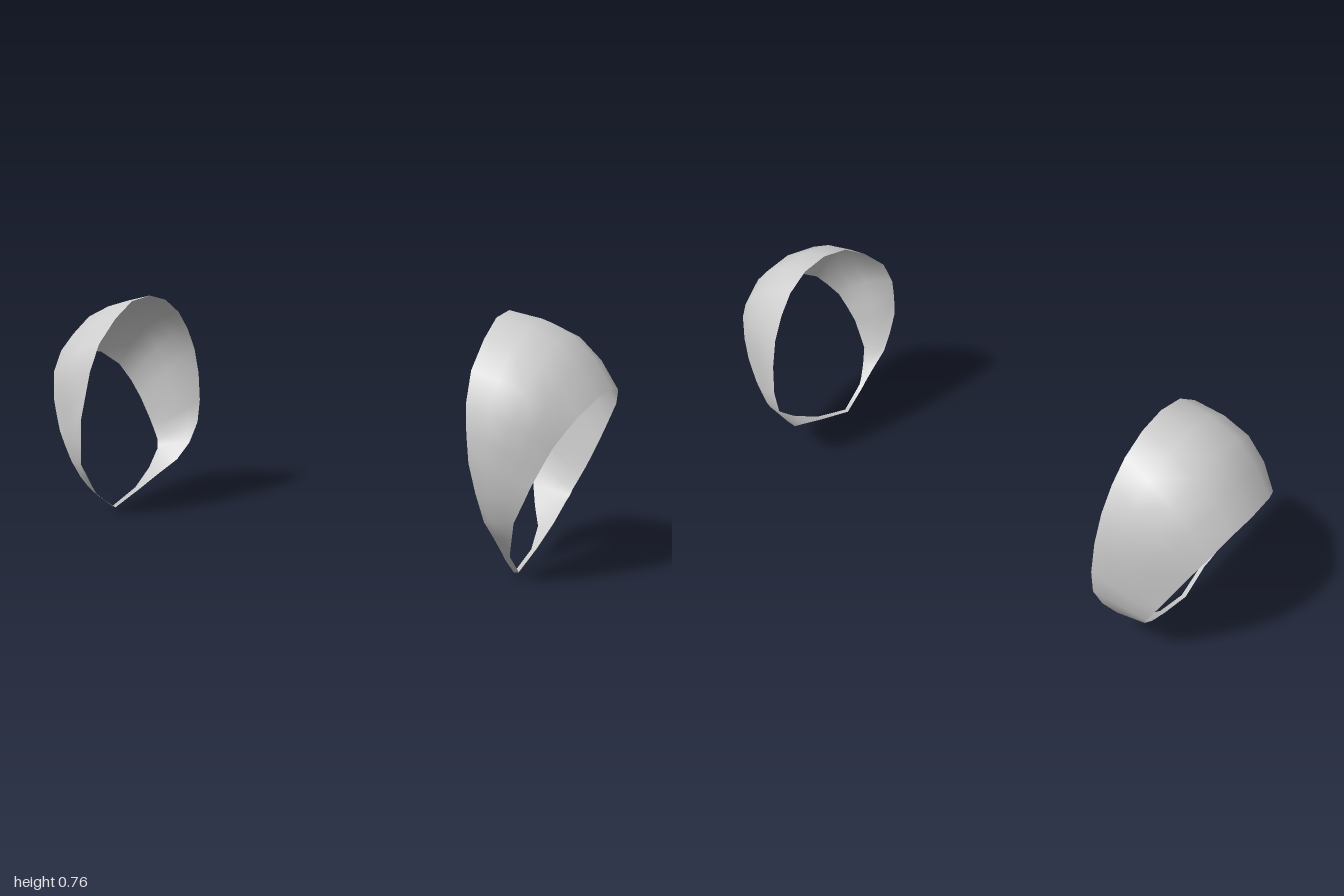
import * as THREE from 'three';

// Rims of one shoulder band as [x, y, z], from the lowest tip, up the front, over the top, down the back
const bodyRim = [
  [0.765, 0.005, 0.09], [0.77, 0.065, 0.175], [0.768, 0.09, 0.197], [0.757, 0.145, 0.24],
  [0.745, 0.2, 0.285], [0.725, 0.285, 0.305], [0.708, 0.37, 0.318], [0.695, 0.45, 0.307],
  [0.685, 0.53, 0.292], [0.68, 0.62, 0.248], [0.68, 0.7, 0.16], [0.68, 0.755, 0.07],
  [0.68, 0.77, -0.03], [0.68, 0.75, -0.12], [0.678, 0.7, -0.195], [0.676, 0.635, -0.245],
  [0.675, 0.555, -0.285], [0.675, 0.46, -0.308], [0.677, 0.355, -0.316], [0.68, 0.27, -0.303],
  [0.69, 0.195, -0.262], [0.715, 0.135, -0.215], [0.75, 0.09, -0.15], [0.768, 0.043, -0.045],
];
const armRim = [
  [0.78, 0.008, 0.09], [0.785, 0.078, 0.18], [0.792, 0.098, 0.198], [0.805, 0.14, 0.225],
  [0.82, 0.2, 0.252], [0.845, 0.255, 0.255], [0.866, 0.305, 0.256], [0.89, 0.36, 0.244],
  [0.915, 0.415, 0.229], [0.94, 0.46, 0.2], [0.965, 0.5, 0.17], [0.992, 0.545, 0.085],
  [1.0, 0.555, -0.03], [0.992, 0.543, -0.115], [0.967, 0.49, -0.19], [0.935, 0.425, -0.22],
  [0.905, 0.36, -0.237], [0.868, 0.28, -0.244], [0.848, 0.24, -0.243], [0.828, 0.2, -0.24],
  [0.822, 0.18, -0.232], [0.815, 0.165, -0.222], [0.8, 0.105, -0.15], [0.786, 0.05, -0.05],
];

const SPAN = 4; // strips between the two rims

// Open band lofted between the rims, puffed outward over the top of the shoulder
function bandGeometry(side) {
  const positions = [];
  const index = [];
  const n = bodyRim.length;
  for (let i = 0; i < n; i++) {
    const a = new THREE.Vector3(...bodyRim[i]);
    const b = new THREE.Vector3(...armRim[i]);
    const puff = 0.055 * THREE.MathUtils.smoothstep((a.y + b.y) / 2, 0.35, 0.6);
    const out = new THREE.Vector3(0.25, a.y - 0.38, a.z).normalize();
    for (let j = 0; j <= SPAN; j++) {
      const t = j / SPAN;
      const p = a.clone().lerp(b, t).addScaledVector(out, puff * Math.sin(Math.PI * t));
      positions.push(side * p.x, p.y, p.z);
      if (j === SPAN) continue;
      const p0 = i * (SPAN + 1) + j;
      const p1 = ((i + 1) % n) * (SPAN + 1) + j;
      if (side > 0) index.push(p0, p0 + 1, p1, p0 + 1, p1 + 1, p1);
      else index.push(p0, p1, p0 + 1, p0 + 1, p1, p1 + 1);
    }
  }
  const geometry = new THREE.BufferGeometry();
  geometry.setAttribute('position', new THREE.Float32BufferAttribute(positions, 3));
  geometry.setIndex(index);
  geometry.computeVertexNormals();
  return geometry;
}

export function createModel() {
  const group = new THREE.Group();
  group.name = 'shoulderBands';
  const material = new THREE.MeshStandardMaterial({ color: 0xcccccc, side: THREE.DoubleSide });
  for (const [name, side] of [['leftShoulderBand', 1], ['rightShoulderBand', -1]]) {
    const band = new THREE.Mesh(bandGeometry(side), material);
    band.name = name;
    group.add(band);
  }
  return group;
}
